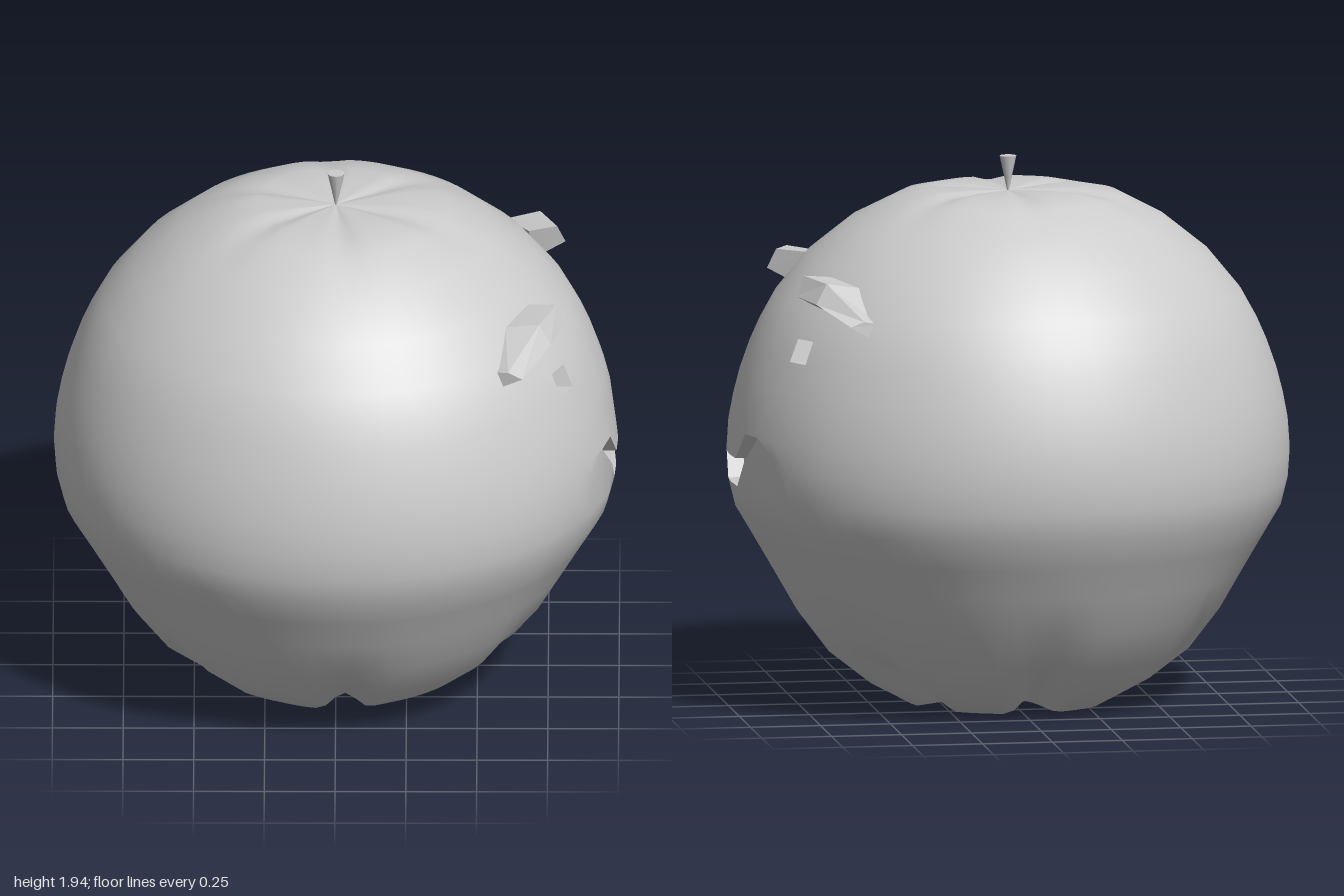
import * as THREE from 'three';

const material = new THREE.MeshStandardMaterial({ color: 0xcccccc });

// Rows of the fruit from bottom to top: radius, height
const ROWS = [[0, 0.05], [0.12, 0.035], [0.25, 0.01], [0.36, 0], [0.5, 0.075], [0.64, 0.185], [0.75, 0.33],
  [0.83, 0.47], [0.9, 0.59], [0.965, 0.7], [0.99, 0.8], [0.997, 0.9], [0.99, 1.0], [0.973, 1.09],
  [0.95, 1.18], [0.915, 1.28], [0.88, 1.36], [0.825, 1.46], [0.71, 1.6], [0.56, 1.72], [0.4, 1.805],
  [0.28, 1.83], [0.14, 1.828], [0, 1.82]];
const SHOULDER = 10, LIP_LOW = 11, LIP_HIGH = 12, EYE_ROW = 15;

// Columns: angles from +x, finer over the face so that mouth and eyes follow them
const FACE = [0.106, 0.202, 0.312, 0.417, 0.521, 0.62, 0.7];
const COLS = [...FACE.map((a) => -a).reverse(), 0, ...FACE];
for (let k = 8; k <= 56; k++) COLS.push(k * Math.PI / 32);

// Piecewise linear lookup in a list of [input, output]
function lookup(list, t) {
  for (let i = 1; i < list.length; i++) {
    const [a, va] = list[i - 1], [b, vb] = list[i];
    if (t <= b) return va + (vb - va) * Math.max(0, (t - a) / (b - a));
  }
  return list[list.length - 1][1];
}
const radiusAt = (y) => lookup(ROWS.slice(3, 21).map(([r, h]) => [h, r]), y);

// Rows bent to follow the smile
const BENDS = {
  [SHOULDER]: [[0, 0.75], [0.106, 0.75], [0.312, 0.8]],
  [LIP_LOW]: [[0, 0.8], [0.106, 0.8], [0.312, 1.0], [0.521, 0.9]],
  [LIP_HIGH]: [[0, 0.9], [0.106, 0.9], [0.202, 1.0]],
};

function surfacePoint(i, j) {
  const angle = COLS[j];
  let [r, y] = ROWS[i];
  if (BENDS[i] && Math.abs(angle) < 0.75) {
    y = lookup(BENDS[i], Math.abs(angle));
    r = radiusAt(y);
  }
  // six grooves underneath, faint ones around the stem
  const groove = Math.max(0, Math.cos(6 * (angle - 0.436))) ** 2;
  if (i < 8) {
    const amount = groove * Math.exp(-(((r - 0.46) / 0.17) ** 2));
    y += 0.08 * amount;
    r *= 1 - 0.05 * amount;
  } else if (i > 19) y -= 0.015 * groove * Math.sin(Math.PI * Math.min(1, r / 0.5));
  return new THREE.Vector3(r * Math.cos(angle), y, 0.96 * r * Math.sin(angle));
}

const wrap = (j) => (j + COLS.length) % COLS.length;
const midAngle = (j) => Math.abs(COLS[j] + COLS[wrap(j + 1)]) / 2;

// Which facial feature, if any, is sunk into a cell
function featureOf(i, j) {
  if (j >= 14) return null;
  if (i === LIP_LOW && midAngle(j) < 0.312) return 'mouth';
  if (i === EYE_ROW && midAngle(j) > 0.417 && midAngle(j) < 0.521) return COLS[j] > 0 ? 'rightEye' : 'leftEye';
  return null;
}

function flatMesh(name, quads) {
  const pos = [];
  for (const [a, b, c, d] of quads) for (const p of [a, b, c, a, c, d]) pos.push(p.x, p.y, p.z);
  const geo = new THREE.BufferGeometry();
  geo.setAttribute('position', new THREE.Float32BufferAttribute(pos, 3));
  geo.computeVertexNormals();
  const mesh = new THREE.Mesh(geo, material);
  mesh.name = name;
  return mesh;
}

function buildBody(group) {
  const pos = [], index = [], recesses = {}, n = COLS.length;
  for (let i = 0; i < ROWS.length; i++) for (let j = 0; j < n; j++) pos.push(...surfacePoint(i, j).toArray());

  for (let i = 0; i < ROWS.length - 1; i++) {
    for (let j = 0; j < n; j++) {
      const k = wrap(j + 1), feature = featureOf(i, j);
      if (!feature) {
        const a = i * n + j, b = i * n + k, c = b + n, d = a + n;
        if (i < ROWS.length - 2) index.push(a, d, c);
        else index.push(a, d, b);
        if (i > 0 && i < ROWS.length - 2) index.push(a, c, b);
        continue;
      }
      // sunken floor, with a wall wherever the neighbour is not sunk
      const outer = [surfacePoint(i, j), surfacePoint(i + 1, j), surfacePoint(i + 1, k), surfacePoint(i, k)];
      const inner = outer.map((p) => p.clone().add(new THREE.Vector3(-0.06, 0, 0)));
      const quads = (recesses[feature] ??= []);
      quads.push(inner);
      const neighbours = [[i, wrap(j - 1)], [i + 1, j], [i, k], [i - 1, j]];
      neighbours.forEach(([ni, nj], e) => {
        const f = (e + 1) % 4;
        if (featureOf(ni, nj) !== feature) quads.push([outer[e], outer[f], inner[f], inner[e]]);
      });
    }
  }
  const geo = new THREE.BufferGeometry();
  geo.setAttribute('position', new THREE.Float32BufferAttribute(pos, 3));
  geo.setIndex(index);
  geo.computeVertexNormals();
  const body = new THREE.Mesh(geo, material);
  body.name = 'body';
  group.add(body);
  for (const name in recesses) group.add(flatMesh(name, recesses[name]));
}

// Bent eyebrow bar lofted through three four-cornered sections
function buildBrow(name, side) {
  const sections = [
    [[0.68, 1.57, 0.29], [0.78, 1.58, 0.31], [0.81, 1.51, 0.33], [0.7, 1.45, 0.32]],
    [[0.6, 1.55, 0.43], [0.72, 1.57, 0.45], [0.76, 1.5, 0.47], [0.65, 1.445, 0.45]],
    [[0.55, 1.44, 0.57], [0.61, 1.455, 0.6], [0.66, 1.44, 0.625], [0.58, 1.39, 0.59]],
  ].map((s) => s.map(([x, y, z]) => new THREE.Vector3(x, y, z * side)));
  const quads = [[...sections[0]], [...sections[2]].reverse()];
  for (let s = 0; s < 2; s++) {
    for (let e = 0; e < 4; e++) {
      const f = (e + 1) % 4;
      quads.push([sections[s][e], sections[s + 1][e], sections[s + 1][f], sections[s][f]]);
    }
  }
  // sections run clockwise seen along +z, so one side needs its corners reversed
  return flatMesh(name, side > 0 ? quads.map((q) => q.reverse()).map((q) => orient(q, sections)) : quads.map((q) => orient(q, sections)));
}

// Turns a quad so that it faces away from the middle of its bar
function orient(q, sections) {
  const centre = new THREE.Vector3();
  sections.flat().forEach((p) => centre.addScaledVector(p, 1 / 12));
  const normal = q[2].clone().sub(q[0]).cross(q[3].clone().sub(q[1]));
  const middle = q.reduce((m, p) => m.addScaledVector(p, 0.25), new THREE.Vector3());
  return normal.dot(middle.sub(centre)) < 0 ? [...q].reverse() : q;
}

export function createModel() {
  const group = new THREE.Group();
  group.name = 'appleWithFace';
  buildBody(group);
  group.add(buildBrow('rightEyebrow', 1), buildBrow('leftEyebrow', -1));

  // Stem: a small spike standing on its tip
  const stem = new THREE.Mesh(new THREE.CylinderGeometry(0.03, 0.003, 0.125, 12), material);
  stem.name = 'stem';
  stem.position.y = 1.88;
  group.add(stem);
  return group;
}
